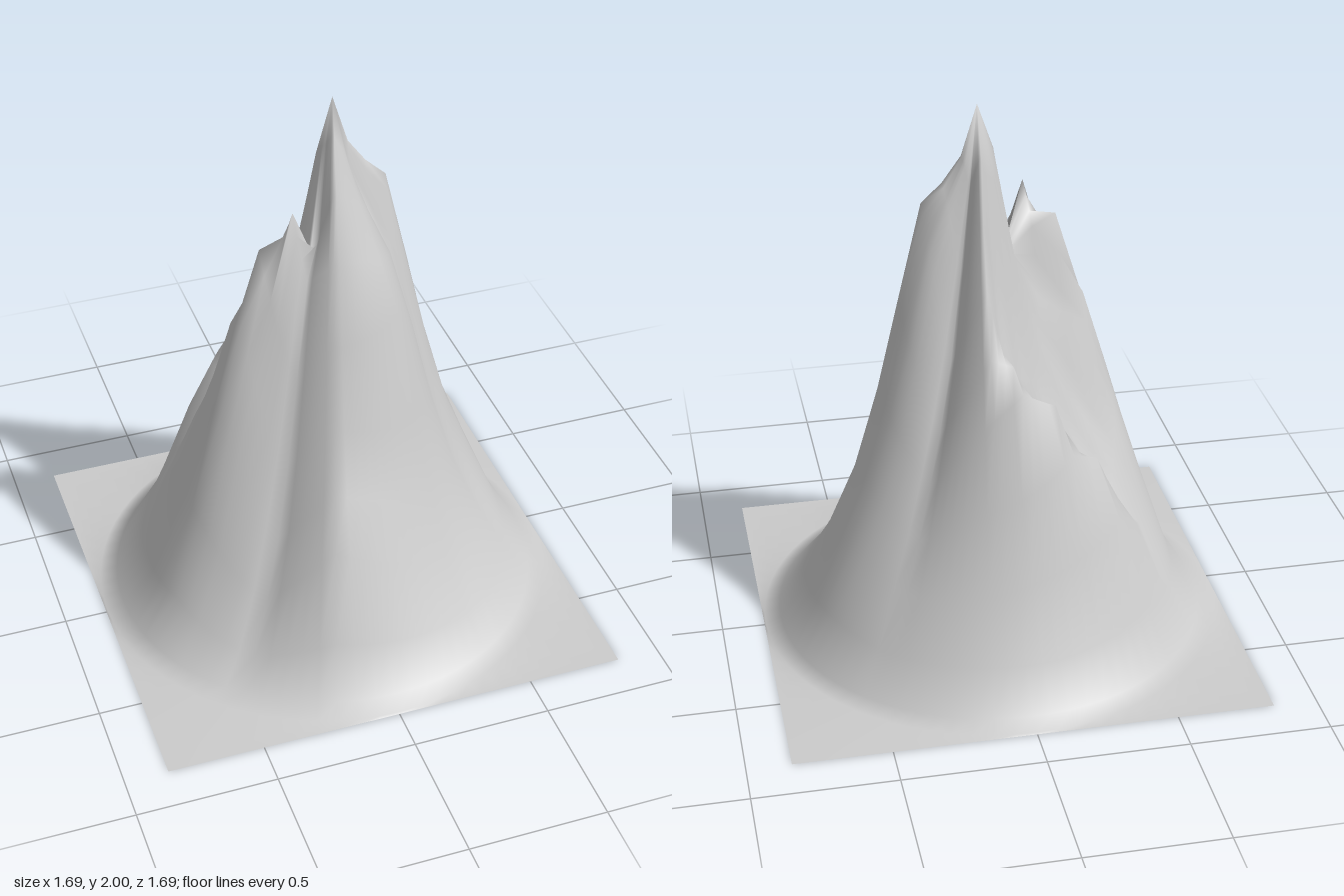
import * as THREE from 'three';

// Ring radii, measured from an axis that leans from the summit to the middle of the base
const RADII = [0.06, 0.13, 0.21, 0.30, 0.38, 0.47, 0.57, 0.68];
const FOOT = [[0.78, 0.03], [0.84, 0.005]]; // radius and height where the slope runs out
const SUMMIT = new THREE.Vector3(0.05, 2, -0.04);
const BASE_RADIUS = 0.84;
const HALF = 0.845;
const SEGMENTS = 72;

// Spokes: angle in degrees from +x towards the front (+z), then the height at each radius
const SPOKES = [
  [20, 1.72, 1.56, 1.40, 1.08, 0.79, 0.52, 0.32, 0.15], // front of the right shoulder
  [55, 1.80, 1.63, 1.45, 1.26, 0.84, 0.55, 0.33, 0.14], // front bulge
  [105, 1.89, 1.70, 1.48, 1.20, 0.92, 0.70, 0.53, 0.21], // front ridge
  [130, 1.85, 1.50, 1.40, 1.05, 0.75, 0.48, 0.28, 0.11], // front gully
  [145, 1.84, 1.45, 1.66, 1.25, 0.95, 0.68, 0.36, 0.14], // second peak
  [160, 1.83, 1.42, 1.50, 1.53, 1.25, 0.92, 0.50, 0.20], // rim
  [170, 1.80, 1.42, 1.30, 1.25, 1.23, 0.93, 0.56, 0.20], // side wall
  [190, 1.74, 1.38, 1.12, 0.95, 0.84, 0.77, 0.52, 0.19],
  [205, 1.72, 1.36, 1.05, 0.82, 0.66, 0.54, 0.43, 0.19], // mouth of the hollow
  [225, 1.74, 1.36, 1.02, 0.79, 0.72, 0.78, 0.55, 0.22], // back rim
  [240, 1.75, 1.38, 1.04, 0.87, 1.00, 0.84, 0.51, 0.20],
  [260, 1.78, 1.45, 1.16, 1.15, 1.08, 0.74, 0.45, 0.18], // horn
  [275, 1.83, 1.63, 1.40, 1.18, 0.99, 0.69, 0.41, 0.18], // back ridge
  [310, 1.72, 1.43, 1.12, 0.88, 0.71, 0.53, 0.36, 0.17], // back gully
  [335, 1.80, 1.66, 1.50, 1.15, 0.88, 0.63, 0.44, 0.20],
  [355, 1.82, 1.73, 1.66, 1.31, 0.99, 0.69, 0.45, 0.20], // right shoulder ridge
];

// Height on a ring, blended between the spokes on either side
function heightAt(ring, degrees) {
  const n = SPOKES.length;
  const after = SPOKES.findIndex((spoke) => spoke[0] > degrees);
  const b = SPOKES[Math.max(after, 0)];
  const a = SPOKES[after < 0 ? n - 1 : (after + n - 1) % n];
  const t = ((degrees - a[0] + 360) % 360) / ((b[0] - a[0] + 360) % 360);
  return THREE.MathUtils.lerp(a[ring + 1], b[ring + 1], t);
}

function mountainGeometry() {
  const positions = [SUMMIT.x, SUMMIT.y, SUMMIT.z];
  const index = [];
  const rings = RADII.length + FOOT.length + 1;

  for (let r = 0; r < rings; r++) {
    for (let s = 0; s < SEGMENTS; s++) {
      const degrees = (s * 360) / SEGMENTS;
      const cos = Math.cos(THREE.MathUtils.degToRad(degrees));
      const sin = Math.sin(THREE.MathUtils.degToRad(degrees));
      // the outermost ring is the square edge of the ground
      let radius = HALF / Math.max(Math.abs(cos), Math.abs(sin));
      let height = 0;
      let lean = 0;
      if (r < rings - 1) {
        [radius, height] = r < RADII.length ? [RADII[r], heightAt(r, degrees)] : FOOT[r - RADII.length];
        lean = 1 - radius / BASE_RADIUS;
      }
      positions.push(SUMMIT.x * lean + radius * cos, height, SUMMIT.z * lean + radius * sin);
    }
  }

  for (let s = 0; s < SEGMENTS; s++) {
    const next = (s + 1) % SEGMENTS;
    index.push(0, 1 + next, 1 + s);
    for (let r = 0; r < rings - 1; r++) {
      const a = 1 + r * SEGMENTS + s;
      const b = 1 + r * SEGMENTS + next;
      const c = a + SEGMENTS;
      const d = b + SEGMENTS;
      index.push(a, b, d, a, d, c);
    }
  }

  const geometry = new THREE.BufferGeometry();
  geometry.setAttribute('position', new THREE.Float32BufferAttribute(positions, 3));
  geometry.setIndex(index);
  geometry.computeVertexNormals();
  return geometry;
}

export function createModel() {
  const group = new THREE.Group();
  group.name = 'mountain';
  const material = new THREE.MeshStandardMaterial({ color: 0xcccccc, side: THREE.DoubleSide });
  const terrain = new THREE.Mesh(mountainGeometry(), material);
  terrain.name = 'mountainTerrain';
  group.add(terrain);
  return group;
}
